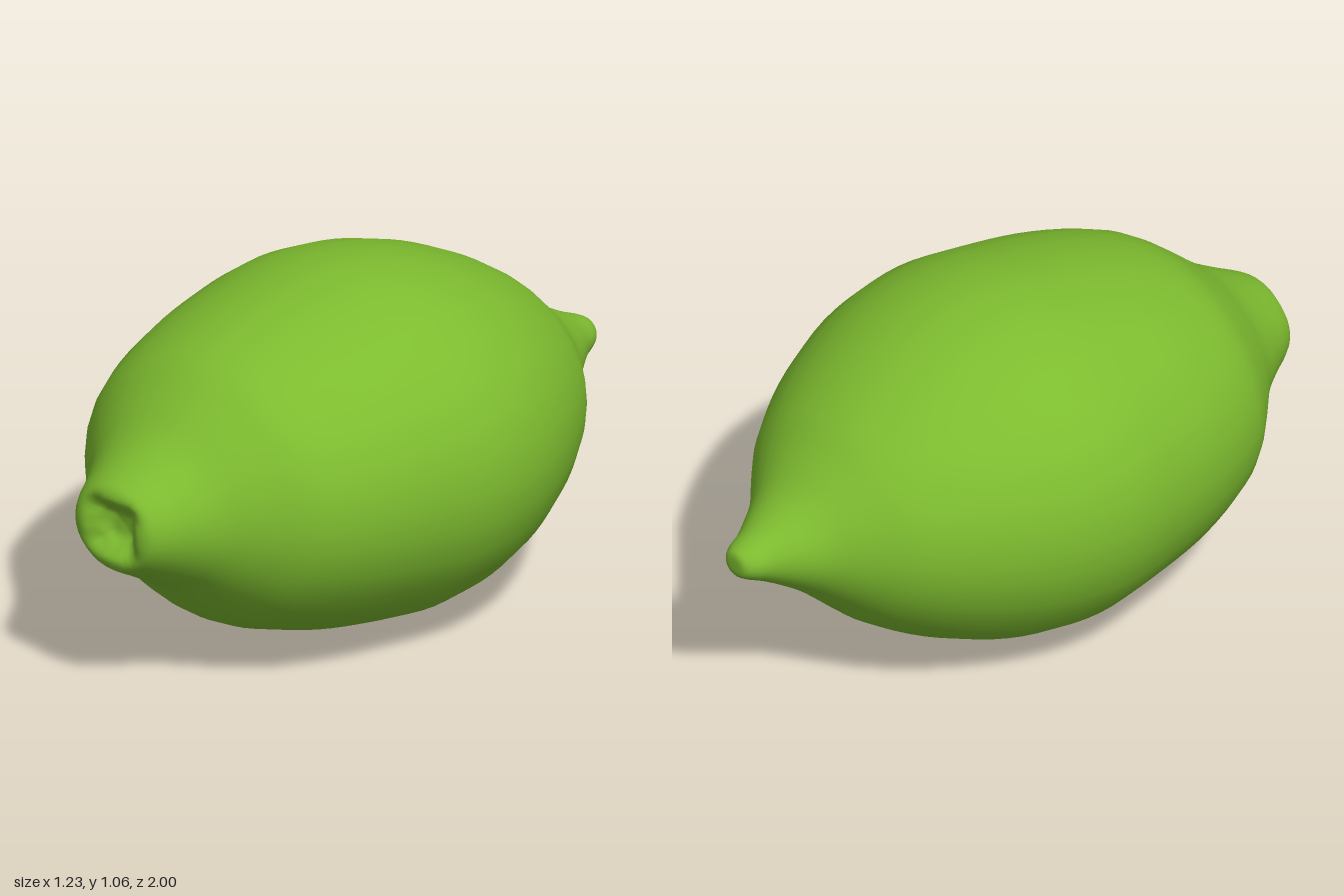
import * as THREE from 'three';
import { mergeVertices } from 'three/addons/utils/BufferGeometryUtils.js';

const SIDES = 32;
const STEPS = 90;
const CENTER_Y = 0.535;

// Half width, half height and z of the sections, from pointed tip to stem end
const SECTIONS = [
  [0, 0, -1], [0.04, 0.035, -0.995], [0.063, 0.052, -0.97], [0.085, 0.075, -0.92],
  [0.125, 0.108, -0.86], [0.185, 0.16, -0.78], [0.28, 0.24, -0.69], [0.38, 0.328, -0.59],
  [0.505, 0.437, -0.4], [0.587, 0.507, -0.2], [0.615, 0.532, 0], [0.59, 0.51, 0.2],
  [0.545, 0.468, 0.4], [0.465, 0.4, 0.59], [0.37, 0.318, 0.7], [0.27, 0.232, 0.8],
  [0.205, 0.177, 0.89], [0.17, 0.145, 0.95], [0.142, 0.122, 0.985], [0.105, 0.092, 0.995],
  [0.075, 0.067, 0.975], [0.045, 0.04, 0.94], [0, 0, 0.93],
];

// Closed skin lofted through the sections, with a four-lobed stem end
function fruitGeometry() {
  const profile = new THREE.CatmullRomCurve3(SECTIONS.map((s) => new THREE.Vector3(...s)));
  const positions = [];
  const index = [];
  for (let i = 0; i <= STEPS; i++) {
    const p = profile.getPoint(i / STEPS);
    const cap = i === 0 || i === STEPS;
    for (let j = 0; j < SIDES; j++) {
      const a = (j / SIDES) * Math.PI * 2;
      // Creases on the diagonals split the stem rim into lobes
      const crease = Math.sin(2 * a) ** 4;
      const rim = p.z > 0.9 ? Math.exp(-(((p.x - 0.09) / 0.035) ** 2)) : 0;
      const lift = 0.008 * THREE.MathUtils.smoothstep(-p.z, 0.75, 1);
      positions.push(
        cap ? 0 : p.x * Math.sin(a),
        CENTER_Y + lift + (cap ? 0 : p.y * Math.cos(a)),
        p.z - 0.022 * crease * rim,
      );
      if (i < STEPS) {
        const A = i * SIDES + j;
        const B = i * SIDES + ((j + 1) % SIDES);
        if (i > 0) index.push(A, A + SIDES, B);
        if (i < STEPS - 1) index.push(B, A + SIDES, B + SIDES);
        else index.push(); // the last row closes on a single point
        if (i === 0) continue;
      }
    }
  }
  const g = new THREE.BufferGeometry();
  g.setAttribute('position', new THREE.Float32BufferAttribute(positions, 3));
  g.setIndex(index);
  const welded = mergeVertices(g, 1e-5);
  welded.computeVertexNormals();
  return welded;
}

export function createModel() {
  const group = new THREE.Group();
  group.name = 'lime';
  const limeGreen = new THREE.MeshStandardMaterial({ color: 0x7dbb2f });
  limeGreen.name = 'limeGreen';
  const skin = new THREE.Mesh(fruitGeometry(), limeGreen);
  skin.name = 'fruitSkin';
  group.add(skin);
  return group;
}
